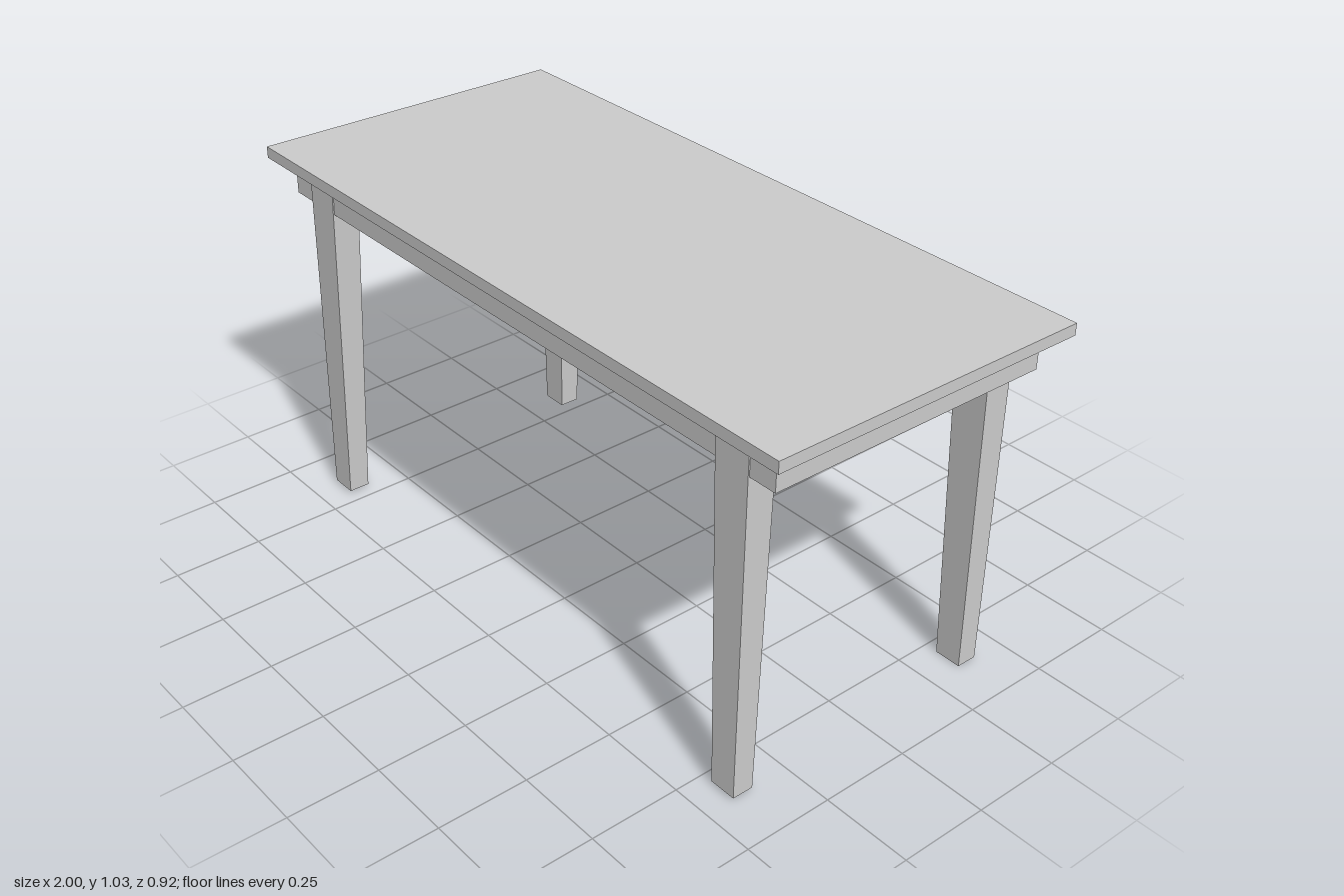
import * as THREE from 'three';

const material = new THREE.MeshStandardMaterial({ color: 0xcccccc, flatShading: true });

// Box spanning given x, y and z ranges
function slab(name, [x0, x1], [y0, y1], [z0, z1]) {
  const geometry = new THREE.BoxGeometry(x1 - x0, y1 - y0, z1 - z0);
  const mesh = new THREE.Mesh(geometry, material);
  mesh.name = name;
  mesh.position.set((x0 + x1) / 2, (y0 + y1) / 2, (z0 + z1) / 2);
  return mesh;
}

// Leg with straight outer faces and inner faces that taper towards the foot
function leg(name, sx, sz) {
  const foot = 0.0055, top = 0.953;
  const geometry = new THREE.BoxGeometry(1, 1, 1);
  const p = geometry.attributes.position;
  for (let i = 0; i < p.count; i++) {
    const high = p.getY(i) > 0;
    const x = p.getX(i) * sx > 0 ? 0.864 : high ? 0.758 : 0.788;
    const z = p.getZ(i) * sz > 0 ? 0.4155 : high ? 0.336 : 0.356;
    p.setXYZ(i, sx * x, high ? top : foot, sz * z + 0.002);
  }
  geometry.computeVertexNormals();
  const mesh = new THREE.Mesh(geometry, material);
  mesh.name = name;
  return mesh;
}

export function createModel() {
  const model = new THREE.Group();
  model.name = 'table';

  // The whole table leans back very slightly
  const table = new THREE.Group();
  table.name = 'leaningTable';
  table.rotation.x = -0.0113;
  table.position.z = 0.0057;
  model.add(table);

  // Table top
  table.add(slab('tableTop', [-1, 1], [0.991, 1.023], [-0.4535, 0.4655]));

  // Apron frame under the top
  const X = 0.943, Z = 0.409, zc = 0.005, t = 0.035, y = [0.895, 0.991];
  table.add(slab('frontApron', [-X, X], y, [zc + Z - t, zc + Z]));
  table.add(slab('backApron', [-X, X], y, [zc - Z, zc - Z + t]));
  table.add(slab('leftApron', [X - t, X], y, [zc - Z + t, zc + Z - t]));
  table.add(slab('rightApron', [-X, -X + t], y, [zc - Z + t, zc + Z - t]));

  // Four tapered legs
  for (const sx of [1, -1]) {
    for (const sz of [1, -1]) {
      table.add(leg((sz > 0 ? 'front' : 'back') + (sx > 0 ? 'Left' : 'Right') + 'Leg', sx, sz));
    }
  }
  return model;
}
